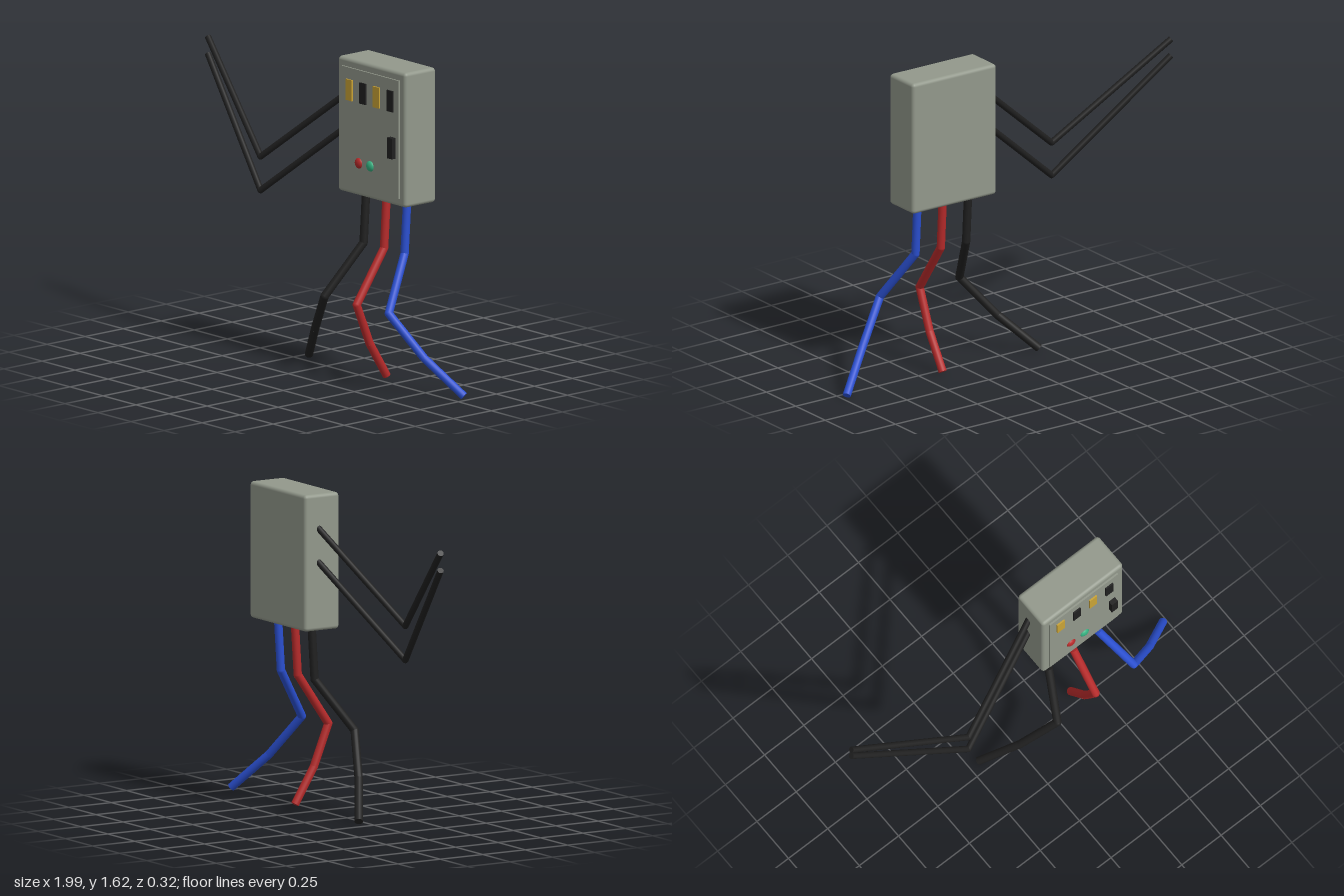
import * as THREE from 'three';
import { RoundedBoxGeometry } from 'three/addons/geometries/RoundedBoxGeometry.js';

function material(name, color) {
  const m = new THREE.MeshStandardMaterial({ color });
  m.name = name;
  return m;
}

export function createModel() {
  const model = new THREE.Group();
  model.name = 'electricalCabinet';
  const grey = material('cabinetGrey', 0x92988b);
  const black = material('rubberBlack', 0x202020);
  const yellow = material('labelYellow', 0xc9a336);
  const red = material('red', 0xb52a2a);
  const blue = material('cableBlue', 0x2a4fd0);
  const green = material('lampGreen', 0x35b080);

  function add(name, geometry, mat, x, y, z, parent = model) {
    const mesh = new THREE.Mesh(geometry, mat);
    mesh.name = name;
    mesh.position.set(x, y, z);
    parent.add(mesh);
    return mesh;
  }

  // Straight cable pieces joined by round elbows, with flat ends
  function cable(name, points, radius, mat) {
    const group = new THREE.Group();
    group.name = name;
    const pts = points.map(p => new THREE.Vector3(...p));
    const up = new THREE.Vector3(0, 1, 0);
    for (let i = 0; i < pts.length - 1; i++) {
      const dir = pts[i + 1].clone().sub(pts[i]);
      const mid = pts[i].clone().addScaledVector(dir, 0.5);
      const piece = add(name + 'Segment', new THREE.CylinderGeometry(radius, radius, dir.length(), 16), mat, mid.x, mid.y, mid.z, group);
      piece.quaternion.setFromUnitVectors(up, dir.normalize());
      if (i > 0) add(name + 'Elbow', new THREE.SphereGeometry(radius, 16, 12), mat, pts[i].x, pts[i].y, pts[i].z, group);
    }
    model.add(group);
  }

  // Cabinet and raised door
  const cx = 0.392;
  add('cabinet', new RoundedBoxGeometry(0.514, 0.688, 0.204, 3, 0.018), grey, cx, 1.274, -0.059);
  add('door', new THREE.BoxGeometry(0.434, 0.604, 0.02), grey, 0.39, 1.273, 0.042);

  // Row of switches, handle and signal lamps
  for (let i = 0; i < 4; i++) {
    add('switch', new THREE.BoxGeometry(0.046, 0.107, 0.016), i % 2 ? black : yellow, 0.238 + i * 0.103, 1.462, 0.052);
  }
  add('doorHandle', new THREE.BoxGeometry(0.038, 0.106, 0.03), black, 0.566, 1.227, 0.062);
  for (const [name, x, mat] of [['redLamp', 0.306, red], ['greenLamp', cx, green]]) {
    add(name, new THREE.SphereGeometry(0.027, 20, 14), mat, x, 1.1, 0.05).scale.z = 0.6;
  }

  // Three cable legs spreading from the underside
  for (const [name, side, mat] of [['blackLeg', -1, black], ['redLeg', 0, red], ['blueLeg', 1, blue]]) {
    const path = [
      [0.155, 0.95, -0.058], [0.155, 0.668, -0.04], [0.243, 0.406, 0.14],
      [0.413, 0.196, 0.055], [0.587, 0.016, -0.056],
    ].map(([x, y, z]) => [cx + side * x, y, z]);
    cable(name, path, 0.021, mat);
  }

  // Pair of bent cables reaching out from the side
  cable('upperArm', [[0.15, 1.452, -0.08], [-0.384, 1.015, 0.098], [-0.987, 1.487, -0.08]], 0.016, black);
  cable('lowerArm', [[0.15, 1.282, -0.08], [-0.384, 0.843, 0.098], [-0.987, 1.4, -0.08]], 0.016, black);

  return model;
}
